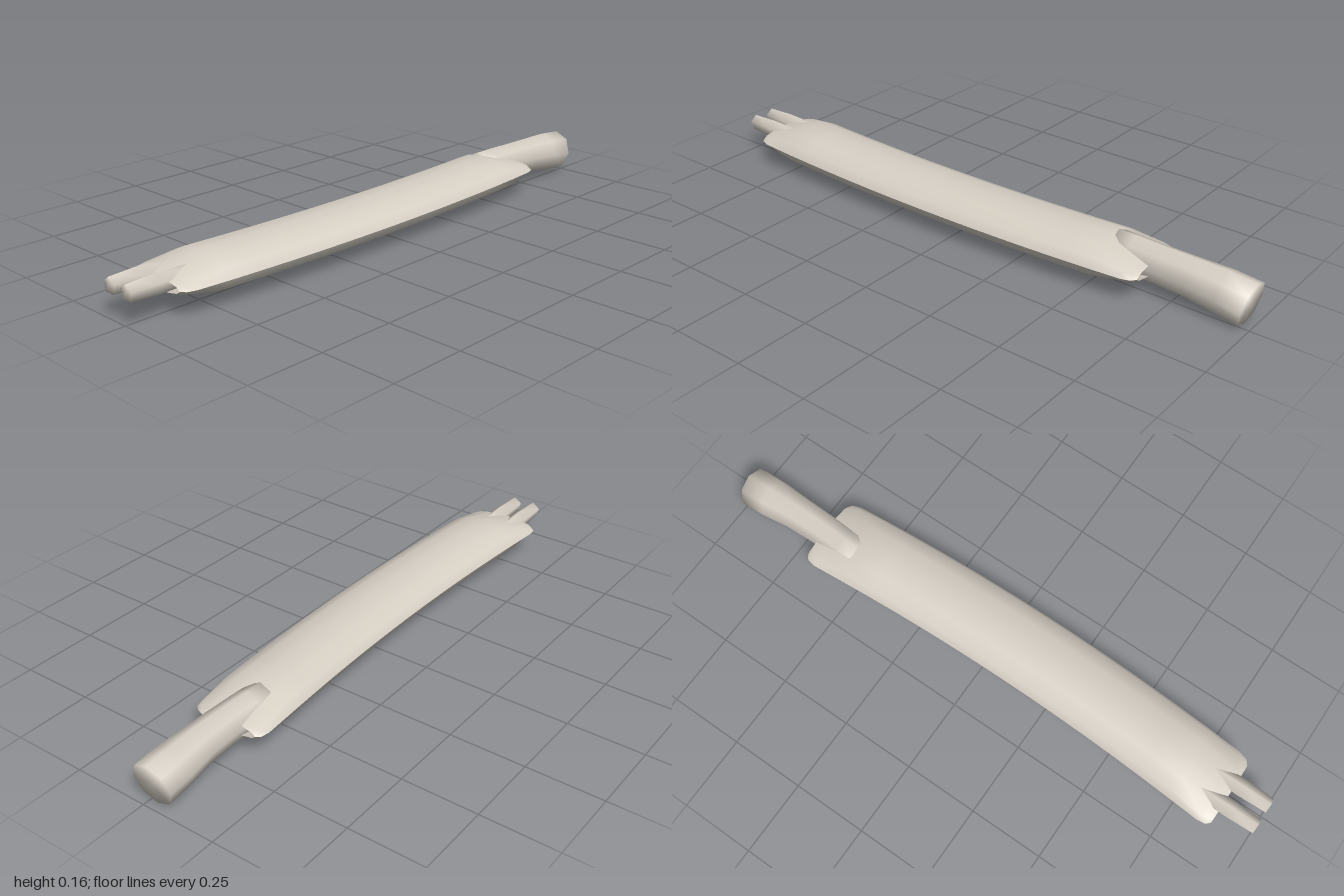
import * as THREE from 'three';

// Sweep elliptical cross-sections along z. Ring: [z, x, y, rx, ry, tilt], z increasing.
function sweep(rings, n, start, arc, capped) {
  const closed = arc > 6.28;
  const cols = closed ? n : n + 1;
  const pos = [], idx = [];
  for (const [z, x, y, rx, ry, tilt = 0] of rings) {
    for (let j = 0; j < cols; j++) {
      const a = start + (arc * j) / n;
      const dy = Math.sin(a) * ry;
      pos.push(x + Math.cos(a) * rx, y + dy, z - dy * tilt);
    }
  }
  for (let i = 0; i < rings.length - 1; i++) {
    for (let j = 0; j < n; j++) {
      const k = (j + 1) % cols;
      const a = i * cols + j, b = i * cols + k;
      idx.push(a, b, b + cols, a, b + cols, a + cols);
    }
  }
  if (capped) {
    const last = rings.length - 1;
    for (const i of [0, last]) {
      const c = pos.length / 3;
      pos.push(rings[i][1], rings[i][2], rings[i][0]);
      for (let j = 0; j < n; j++) {
        const a = i * cols + j, b = i * cols + ((j + 1) % cols);
        if (i === last) idx.push(c, a, b);
        else idx.push(c, b, a);
      }
    }
  }
  const g = new THREE.BufferGeometry();
  g.setAttribute('position', new THREE.Float32BufferAttribute(pos, 3));
  g.setIndex(idx);
  g.computeVertexNormals();
  return g;
}

export function createModel() {
  const group = new THREE.Group();
  const ivory = new THREE.MeshStandardMaterial({ color: 0xd6cfc4, side: THREE.DoubleSide });
  ivory.name = 'ivory';
  const add = (name, geometry) => {
    const mesh = new THREE.Mesh(geometry, ivory);
    mesh.name = name;
    group.add(mesh);
  };

  // Curved sleeve: lens-shaped section, flattened and open at both ends
  const mid = 0.1, half = 0.78;
  const ends = [[0, 0.108, 0.02], [0.012, 0.122, 0.023], [0.04, 0.129, 0.031], [0.15, 0.13, 0.06]];
  const sleeveRing = (z, rx, ry) => {
    const t = (z - mid) / half;
    return [z, 0.016 - 0.036 * t * t, 0.092, rx, ry];
  };
  const rings = ends.map(([d, rx, ry]) => sleeveRing(mid - half + d, rx, ry));
  for (let i = 1; i < 12; i++) rings.push(sleeveRing(mid + (half - 0.15) * (i / 6 - 1), 0.13, 0.06));
  for (const [d, rx, ry] of [...ends].reverse()) rings.push(sleeveRing(mid + half - d, rx, ry));
  // two shells keep the side seam sharp
  add('sleeveTop', sweep(rings, 6, 0, Math.PI, false));
  add('sleeveBottom', sweep(rings, 6, Math.PI, Math.PI, false));

  // Handle flaring towards the rear
  add('handle', sweep([
    [-0.985, -0.026, 0.075, 0.07, 0.071, 0.2],
    [-0.9, -0.026, 0.085, 0.069, 0.07, 0.1],
    [-0.8, -0.024, 0.093, 0.06, 0.065],
    [-0.7, -0.025, 0.096, 0.057, 0.063],
    [-0.6, -0.029, 0.096, 0.057, 0.064],
    [-0.54, -0.032, 0.095, 0.057, 0.064],
  ], 8, 0, Math.PI * 2, true));

  // Two five-sided prongs at the front
  for (const [name, x] of [['prongRight', -0.063], ['prongLeft', 0.014]]) {
    add(name, sweep([
      [0.75, x, 0.101, 0.026, 0.028],
      [0.9, x, 0.102, 0.031, 0.032],
      [1, x, 0.103, 0.027, 0.027],
    ], 5, Math.PI / 2, Math.PI * 2, true));
  }
  return group;
}
